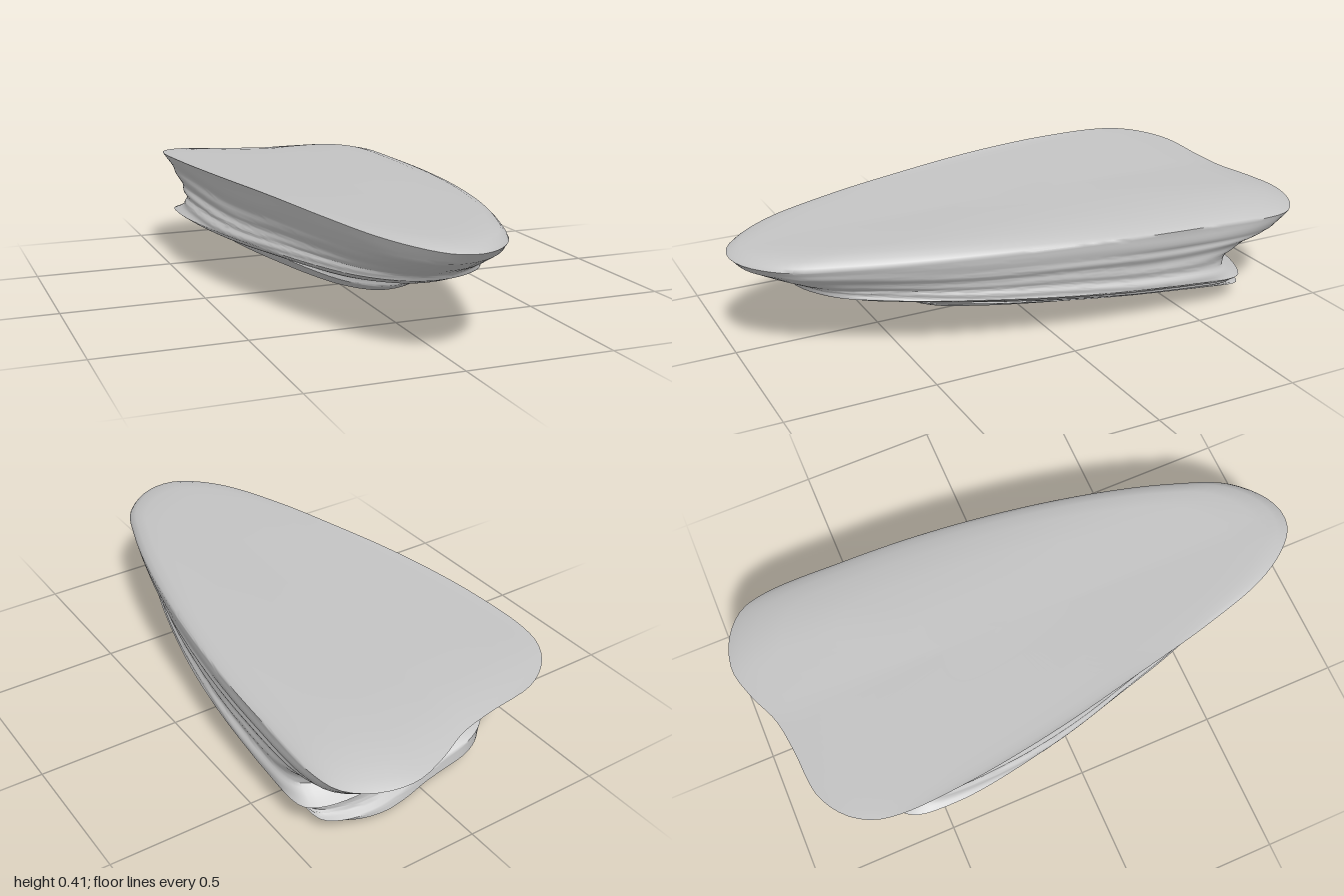
import * as THREE from 'three';
import { toCreasedNormals } from 'three/addons/utils/BufferGeometryUtils.js';

const N = 140; // points around each ring
const SUB = 6; // rings between two strata
const lerp = THREE.MathUtils.lerp;

// Plan outline of the slab as x, z, from the narrow front tip round by +x
const OUTLINE = [
  [0.02, 1], [0.1, 0.97], [0.2, 0.87], [0.27, 0.7], [0.33, 0.5], [0.385, 0.25], [0.425, 0],
  [0.452, -0.25], [0.465, -0.5], [0.468, -0.8], [0.44, -0.9], [0.36, -0.97], [0.24, -1],
  [0.12, -0.97], [0, -0.92], [-0.12, -0.9], [-0.3, -0.88], [-0.4, -0.82], [-0.455, -0.74],
  [-0.475, -0.64], [-0.465, -0.4], [-0.44, -0.2], [-0.405, 0], [-0.35, 0.25], [-0.28, 0.55],
  [-0.2, 0.8], [-0.12, 0.93], [-0.05, 0.99],
];

// Strata below the rim: front z, back z, -x extent, +x extent, front y, back y,
// tilt across the back, upward bow of the sides
const STRATA = [
  [0.97, -0.94, 0.445, 0.463, 0.312, 0.31, -0.1, 0],
  [0.89, -0.83, 0.43, 0.45, 0.272, 0.265, -0.07, 0],
  [0.825, -0.73, 0.43, 0.437, 0.245, 0.225, -0.08, 0],
  [0.81, -0.7, 0.438, 0.435, 0.237, 0.185, -0.1, 0],
  [0.8, -0.765, 0.46, 0.45, 0.22, 0.145, -0.11, 0],
  [0.73, -0.75, 0.44, 0.42, 0.195, 0.13, -0.12, 0],
  [0.56, -0.75, 0.36, 0.405, 0.155, 0.11, -0.13, 0.05],
  [0.47, -0.755, 0.295, 0.4, 0.135, 0.09, -0.14, 0.15],
  [0.465, -0.785, 0.31, 0.4, 0.115, 0.065, -0.16, 0.3],
  [0.42, -0.79, 0.29, 0.35, 0.09, 0.035, -0.1, 0.3],
  [0.2, -0.74, 0.2, 0.27, 0.05, 0.022, -0.07, 0.3],
  [-0.1, -0.66, 0.08, 0.2, 0.022, 0.008, -0.02, 0.1],
  [-0.45, -0.45, 0, 0, 0, 0, 0, 0],
];

const rimY = (x, z) => 0.377 - 0.08 * x - 0.03 * z * z;
const topY = (x, z) => 0.385 + 0.048 * Math.max(0, -x) - 0.65 * Math.max(0, x - 0.22) ** 2
  - 0.012 * z * z - 0.4 * Math.max(0, -z - 0.7) ** 2;

// Squares off the back corners of the lower strata
const squareBack = (z, power) => z < -0.6 ? -0.6 - 0.4 * Math.min(1, (-z - 0.6) / 0.4) ** power : z;

function buildRows() {
  const curve = new THREE.CatmullRomCurve3(
    OUTLINE.map(([x, z]) => new THREE.Vector3(x, 0, z)), true, 'centripetal');
  const base = curve.getSpacedPoints(N).slice(0, N);

  // Nearly flat top, rolling over to the rim
  const rows = [[0, 1], [0.3, 1], [0.6, 1], [0.8, 1], [0.9, 0.95], [0.96, 0.7], [0.99, 0.3], [1, 0]].map(([s, w]) =>
    base.map((p) => {
      const x = p.x * s, z = (p.z + 0.1) * s - 0.1;
      return new THREE.Vector3(x, lerp(rimY(x, z), topY(x, z), w), z);
    }));

  // Stepped layers, each ring a reshaped copy of the outline
  const keys = [rows.at(-1), ...STRATA.map(([zf, zb, xl, xr, yf, yb, tilt, bow], i) =>
    base.map((p) => {
      const t = (squareBack(p.z, lerp(1, 0.6, Math.min(1, i / 4))) + 1) / 2;
      const x = p.x > 0 ? p.x * xr / 0.47 : p.x * xl / 0.475;
      return new THREE.Vector3(x, lerp(yb + tilt * x, yf, t) + bow * x * x, lerp(zb, zf, t));
    }))];

  // Fill between the layers with shallow, wandering grooves
  for (let k = 0; k < keys.length - 1; k++) {
    for (let s = 1; s <= SUB; s++) {
      const row = k + s / SUB;
      const fade = Math.min(1, row * 0.7) * THREE.MathUtils.clamp((10.5 - row) / 2, 0, 1);
      rows.push(keys[k].map((a, j) => {
        const p = a.clone().lerp(keys[k + 1][j], s / SUB);
        const ang = j / N * Math.PI * 2;
        const groove = Math.sin(row * 5 + 1.6 * Math.sin(ang * 2 + 1) + 0.7 * Math.sin(ang * 5));
        p.x *= 1 + 0.008 * groove * fade;
        return p;
      }));
    }
  }
  return rows;
}

// Skin the rings, closing to a single point at both ends
function loft(rows) {
  const index = [];
  const last = rows.length - 2;
  for (let i = 0; i <= last; i++) {
    for (let j = 0; j < N; j++) {
      const k = (j + 1) % N;
      const a = i * N + j, b = a + N, c = (i + 1) * N + k, d = i * N + k;
      if (i < last) index.push(a, b, c);
      if (i > 0) index.push(a, c, d);
    }
  }
  const geo = new THREE.BufferGeometry().setFromPoints(rows.flat());
  geo.setIndex(index);
  return toCreasedNormals(geo, 1);
}

export function createModel() {
  const stone = new THREE.MeshStandardMaterial({ color: 0xc3c3c3 });
  stone.name = 'stone grey';
  const group = new THREE.Group();
  group.name = 'layeredRock';
  const slab = new THREE.Mesh(loft(buildRows()), stone);
  slab.name = 'rockSlab';
  group.add(slab);
  return group;
}
